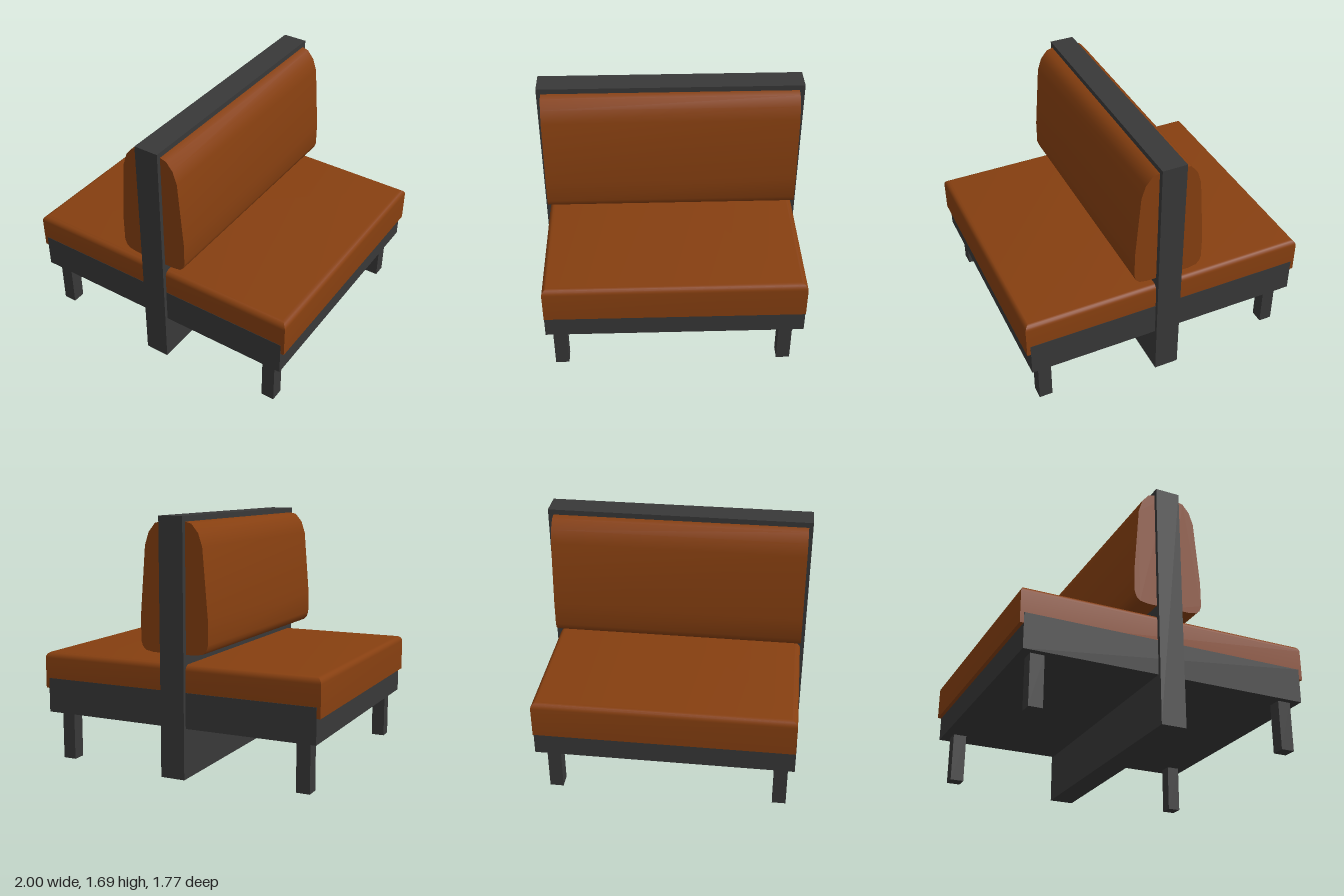
import * as THREE from 'three';
import { toCreasedNormals } from 'three/addons/utils/BufferGeometryUtils.js';

export function createModel() {
  const group = new THREE.Group();
  const leather = new THREE.MeshStandardMaterial({ color: 0x863f10 });
  leather.name = 'brown leather';
  const frame = new THREE.MeshStandardMaterial({ color: 0x383838 });
  frame.name = 'charcoal frame';

  const add = (name, geometry, material) => {
    const mesh = new THREE.Mesh(geometry, material);
    mesh.name = name;
    group.add(mesh);
    return mesh;
  };
  const addBox = (name, w, y0, y1, d, x = 0, z = 0) =>
    add(name, new THREE.BoxGeometry(w, y1 - y0, d), frame).position.set(x, (y0 + y1) / 2, z);

  // Frame: centre partition, seat base and four legs
  addBox('centrePartition', 0.17, 0, 1.69, 1.77);
  addBox('seatBase', 1.95, 0.335, 0.57, 1.72);
  for (const x of [-0.868, 0.868]) {
    for (const z of [-0.749, 0.772]) addBox('leg', 0.092, 0, 0.335, 0.092, x, z);
  }

  // Seat cushion: a box whose top rows curve inwards
  const rows = 6, radius = 0.04, bottom = 0.5, top = 0.75;
  const seat = new THREE.BoxGeometry(2, 1, 1.716, 1, rows, 1);
  const p = seat.attributes.position;
  for (let i = 0; i < p.count; i++) {
    const row = Math.round((p.getY(i) + 0.5) * rows);
    const a = Math.max(0, row - 1) / (rows - 1) * Math.PI / 2;
    const inset = radius * (1 - Math.cos(a));
    const y = row === 0 ? bottom : top - radius * (1 - Math.sin(a));
    p.setXYZ(i, p.getX(i) - Math.sign(p.getX(i)) * inset, y,
      p.getZ(i) - Math.sign(p.getZ(i)) * inset);
  }
  add('seatCushion', toCreasedNormals(seat, 0.6), leather);

  // Back cushions: one tapered profile, mirrored to both sides of the partition
  const half = [
    [0.15, 0.815], [0.205, 0.825], [0.23, 0.848], [0.242, 0.885], [0.242, 1.05],
    [0.205, 1.5], [0.177, 1.585], [0.13, 1.642], [0.075, 1.657],
  ];
  for (const side of [1, -1]) {
    const points = [[0, 0.815], ...half, [0, 1.657]]
      .map(([x, y]) => new THREE.Vector2(x * side, y));
    const geometry = new THREE.ExtrudeGeometry(new THREE.Shape(points),
      { depth: 1.707, bevelEnabled: false });
    geometry.translate(0, 0, -0.85);
    add(side > 0 ? 'leftBackCushion' : 'rightBackCushion',
      toCreasedNormals(geometry, 0.7), leather);
  }
  return group;
}
